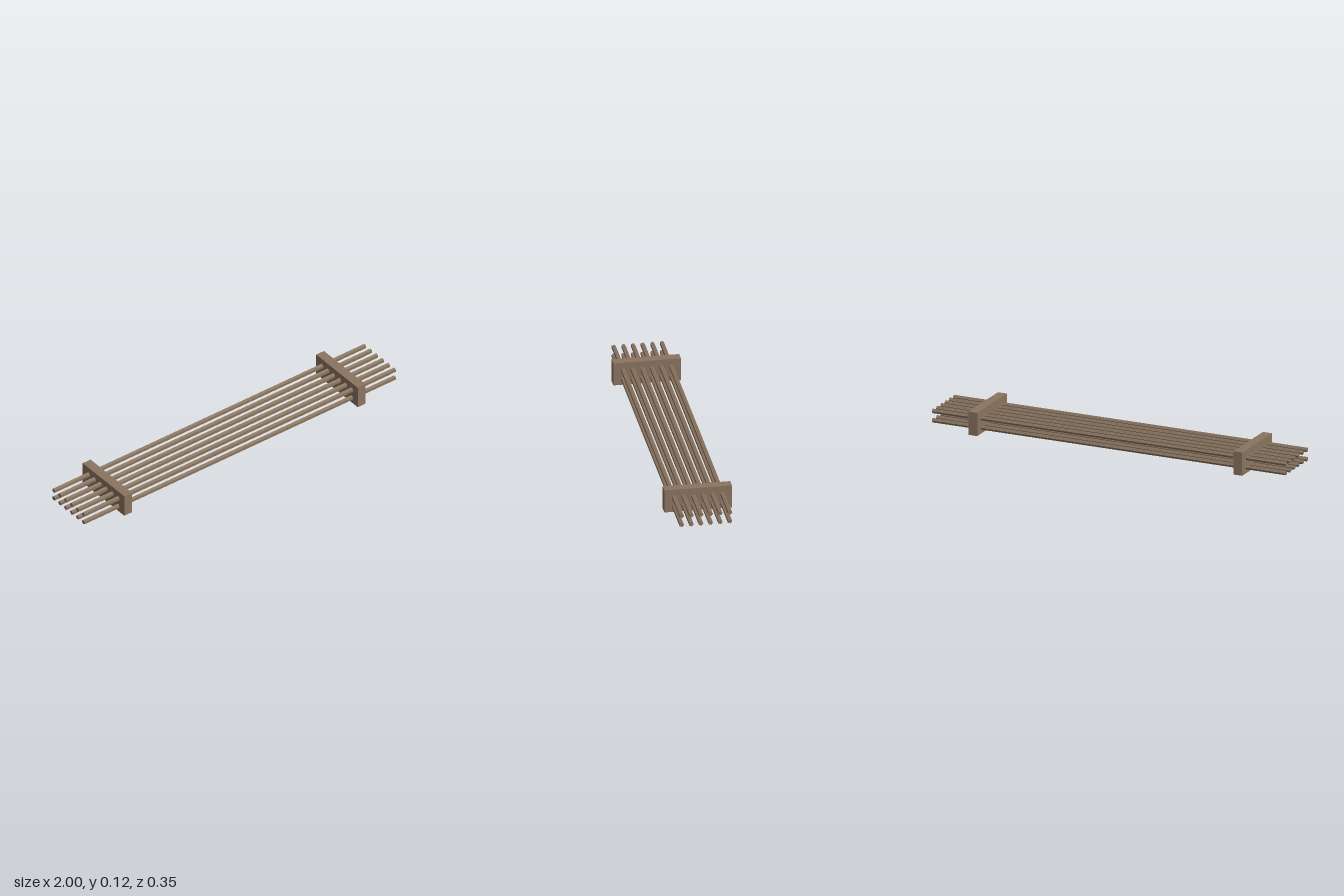
import * as THREE from 'three';

export function createModel() {
  const model = new THREE.Group();
  model.name = 'rodBundle';

  const brown = new THREE.MeshStandardMaterial({ color: 0x8b7560, flatShading: true });
  brown.name = 'weathered brown';

  function add(name, geometry, x, y, z) {
    const mesh = new THREE.Mesh(geometry, brown);
    mesh.name = name;
    mesh.position.set(x, y, z);
    model.add(mesh);
  }

  // Two upright blocks that hold the rods
  const block = new THREE.BoxGeometry(0.05, 0.125, 0.35);
  add('leftBlock', block, 0.75, 0.0625, 0);
  add('rightBlock', block, -0.75, 0.0625, 0);

  // Two layers of six five-sided rods, with the flat side to the front
  const rod = new THREE.CylinderGeometry(0.0125, 0.0125, 2, 5, 1, false, Math.PI);
  rod.rotateZ(Math.PI / 2);
  [['lower', 0.033], ['upper', 0.083]].forEach(([layer, y]) => {
    for (let i = 0; i < 6; i++) {
      add(`${layer}Rod${i + 1}`, rod, 0, y, -0.125 + i * 0.05);
    }
  });

  return model;
}
